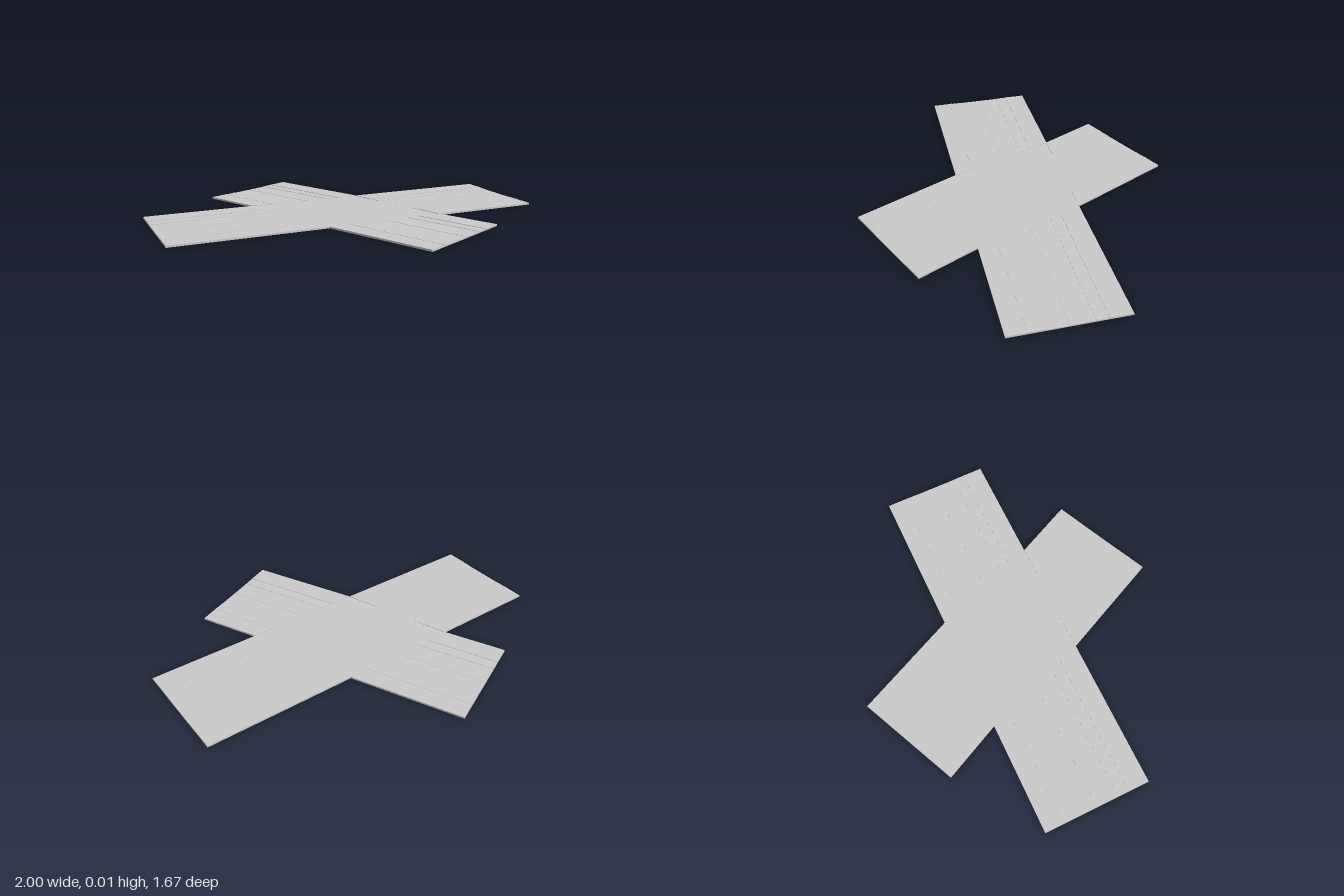
import * as THREE from 'three';

const material = new THREE.MeshStandardMaterial({ color: 0xcccccc, flatShading: true });

// Flat slab of the given height over a ground polygon of [x, z] points
function slab(name, points, height) {
  const shape = new THREE.Shape(points.map(([x, z]) => new THREE.Vector2(x, -z)));
  const geometry = new THREE.ExtrudeGeometry(shape, { depth: height, bevelEnabled: false });
  geometry.rotateX(-Math.PI / 2);
  const mesh = new THREE.Mesh(geometry, material);
  mesh.name = name;
  return mesh;
}

const mix = (a, b, t) => [a[0] + (b[0] - a[0]) * t, a[1] + (b[1] - a[1]) * t];

// Street cross-section: name, start and end across the width, height
const strips = [
  ['pavement', 0, 0.17, 0.0095],
  ['kerb', 0.17, 0.195, 0.0105],
  ['cycleLane', 0.195, 0.3, 0.0085],
  ['carriageway', 0.3, 0.495, 0.007],
  ['centreLine', 0.495, 0.505, 0.008],
  ['carriageway', 0.505, 0.7, 0.007],
  ['cycleLane', 0.7, 0.805, 0.0085],
  ['kerb', 0.805, 0.83, 0.0105],
  ['pavement', 0.83, 1, 0.0095],
];

// One arm of the crossing, split lengthwise into strips
function arm(name, innerA, outerA, innerB, outerB) {
  const group = new THREE.Group();
  group.name = name;
  for (const [part, from, to, height] of strips) {
    group.add(slab(part, [
      mix(innerA, innerB, from), mix(outerA, outerB, from),
      mix(outerA, outerB, to), mix(innerA, innerB, to),
    ], height));
  }
  return group;
}

export function createModel() {
  const model = new THREE.Group();
  model.name = 'roadCrossing';
  const w = 0.287;

  // Junction floor
  model.add(slab('junction', [[0.21, -w], [0.415, w], [-0.21, w], [-0.415, -w]], 0.007));

  // Opposite arms are half-turn copies of each other
  for (const [side, turn] of [['left', 0], ['right', Math.PI]]) {
    const half = new THREE.Group();
    half.name = side + 'Half';
    half.add(arm('mainRoadArm', [0.21, -w], [1, -w], [0.415, w], [1, w]));
    half.add(arm('sideRoadArm', [0.415, w], [0.558, 0.592], [-0.21, w], [0.04, 0.833]));
    half.rotation.y = turn;
    model.add(half);
  }
  return model;
}
